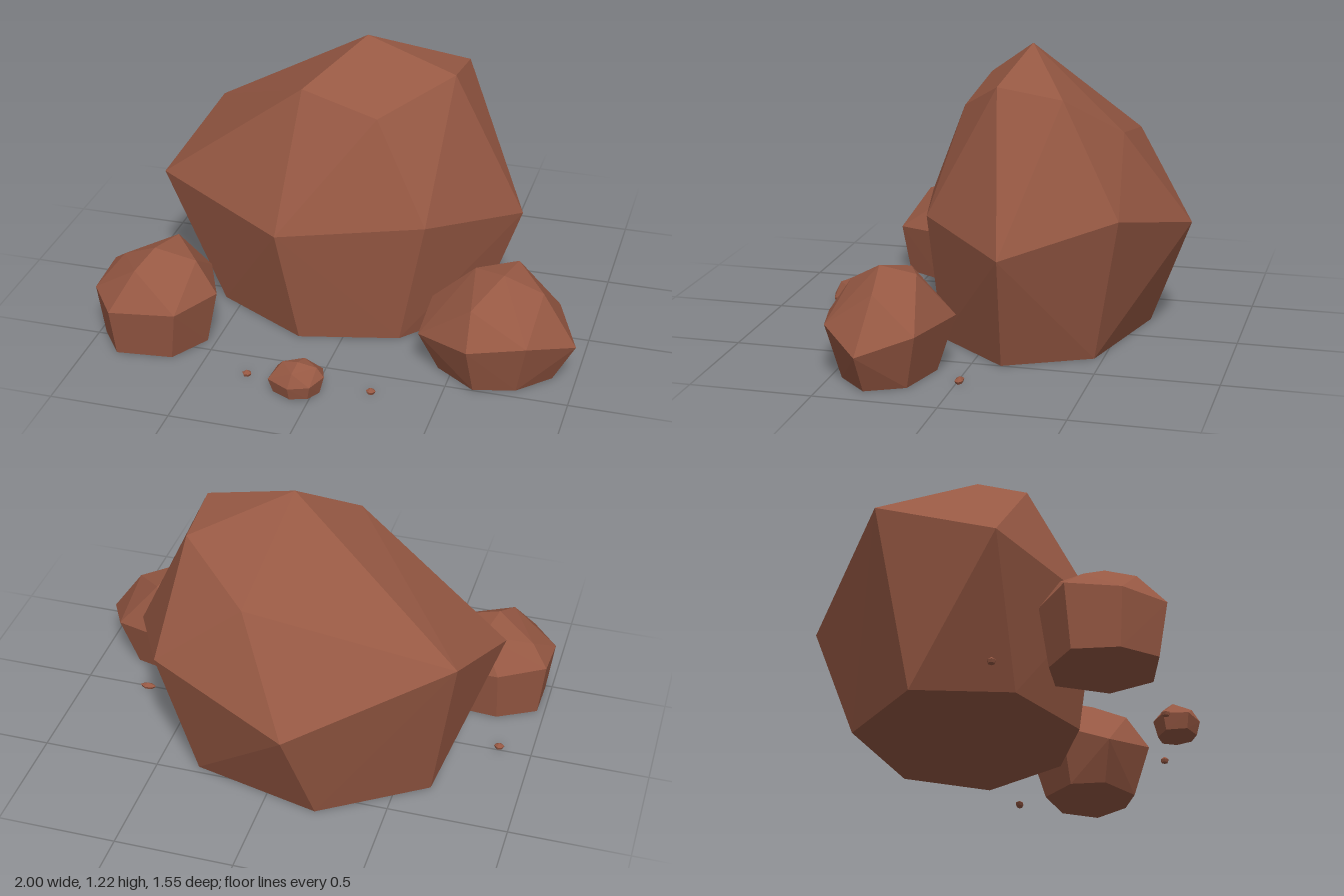
import * as THREE from 'three';
import { ConvexGeometry } from 'three/addons/geometries/ConvexGeometry.js';

const rockBrown = new THREE.MeshStandardMaterial({ color: 0x965843 });
rockBrown.name = 'rockBrown';

// A faceted stone: the convex hull of its corner points
function stone(name, corners) {
  const points = corners.map(([x, y, z]) => new THREE.Vector3(x, y, z));
  const mesh = new THREE.Mesh(new ConvexGeometry(points), rockBrown);
  mesh.name = name;
  return mesh;
}

// Flat foot: the widest ring pulled toward a centre and dropped to the ground
function foot(ring, cx, cz, scale) {
  return ring.map(([x, , z]) => [cx + (x - cx) * scale, 0, cz + (z - cz) * scale]);
}

export function createModel() {
  const model = new THREE.Group();
  model.name = 'rockCluster';

  // Large boulder: crown, shoulder ring, then foot
  model.add(stone('largeBoulder', [
    [0, 1.22, -0.13], [0.385, 1.11, -0.075], [-0.215, 1.05, 0.1],
    [0.385, 1.07, -0.34], [0.1, 0.89, -0.53], [0.11, 0.97, 0.13],
    [0.455, 0.615, -0.58], [-0.13, 0.47, -0.78], [0.67, 0.485, -0.145],
    [0.34, 0.555, 0.23], [-0.255, 0.505, 0.375], [-0.855, 0.555, 0.03],
    [-0.75, 0.72, -0.45],
    [0.325, 0, -0.465], [-0.22, 0, -0.6], [0.5, 0, -0.12], [0.23, 0, 0.2],
    [-0.18, 0, 0.3], [-0.58, 0, 0.08], [-0.64, 0, -0.32],
  ]));

  // Medium stone on the +x side
  const ringA = [
    [0.995, 0.165, 0.33], [0.825, 0.23, 0.505], [0.595, 0.21, 0.565],
    [0.36, 0.165, 0.4], [0.37, 0.23, 0.2], [0.585, 0.23, 0.04], [0.89, 0.23, 0.12],
  ];
  model.add(stone('mediumStoneLeft', [
    ...ringA, ...foot(ringA, 0.66, 0.31, 0.73),
    [0.69, 0.445, 0.32], [0.72, 0.43, 0.16], [0.555, 0.41, 0.23],
    [0.85, 0.375, 0.3], [0.59, 0.35, 0.47],
  ]));

  // Medium stone on the -x side
  const ringB = [
    [-1, 0.225, 0.5], [-0.995, 0.25, 0.29], [-0.805, 0.24, 0.185],
    [-0.595, 0.23, 0.2], [-0.49, 0.235, 0.435], [-0.605, 0.22, 0.63], [-0.88, 0.21, 0.66],
  ];
  model.add(stone('mediumStoneRight', [
    ...ringB, ...foot(ringB, -0.81, 0.42, 0.85),
    [-0.755, 0.41, 0.43], [-0.58, 0.37, 0.42], [-0.715, 0.39, 0.26],
    [-0.8, 0.36, 0.55], [-0.92, 0.32, 0.36],
  ]));

  // Small stone in front
  const ringC = [
    [-0.07, 0.065, 0.59], [0.02, 0.07, 0.61], [0.045, 0.075, 0.68],
    [0.005, 0.06, 0.75], [-0.08, 0.055, 0.775], [-0.175, 0.06, 0.73], [-0.165, 0.065, 0.63],
  ];
  model.add(stone('smallStone', [
    ...ringC, ...foot(ringC, -0.065, 0.69, 0.83),
    [-0.06, 0.135, 0.69], [0.015, 0.115, 0.68], [-0.13, 0.115, 0.67],
    [-0.07, 0.11, 0.745], [-0.05, 0.12, 0.63],
  ]));

  // Pebbles: [x, z, half width, half depth]
  [
    [-0.295, 0.64, 0.02, 0.018], [0.225, 0.63, 0.02, 0.018], [0.72, -0.01, 0.036, 0.018],
    [-0.86, 0.015, 0.022, 0.018], [-0.63, 0.545, 0.023, 0.018],
  ].forEach(([x, z, w, d], i) => {
    const corners = [[x, 0.026, z]];
    for (let k = 0; k < 6; k++) {
      const a = (k / 6) * Math.PI * 2 + i;
      const c = Math.cos(a), s = Math.sin(a);
      corners.push([x + c * w, 0.012, z + s * d], [x + c * w * 0.75, 0, z + s * d * 0.75]);
    }
    model.add(stone('pebble' + (i + 1), corners));
  });

  return model;
}
